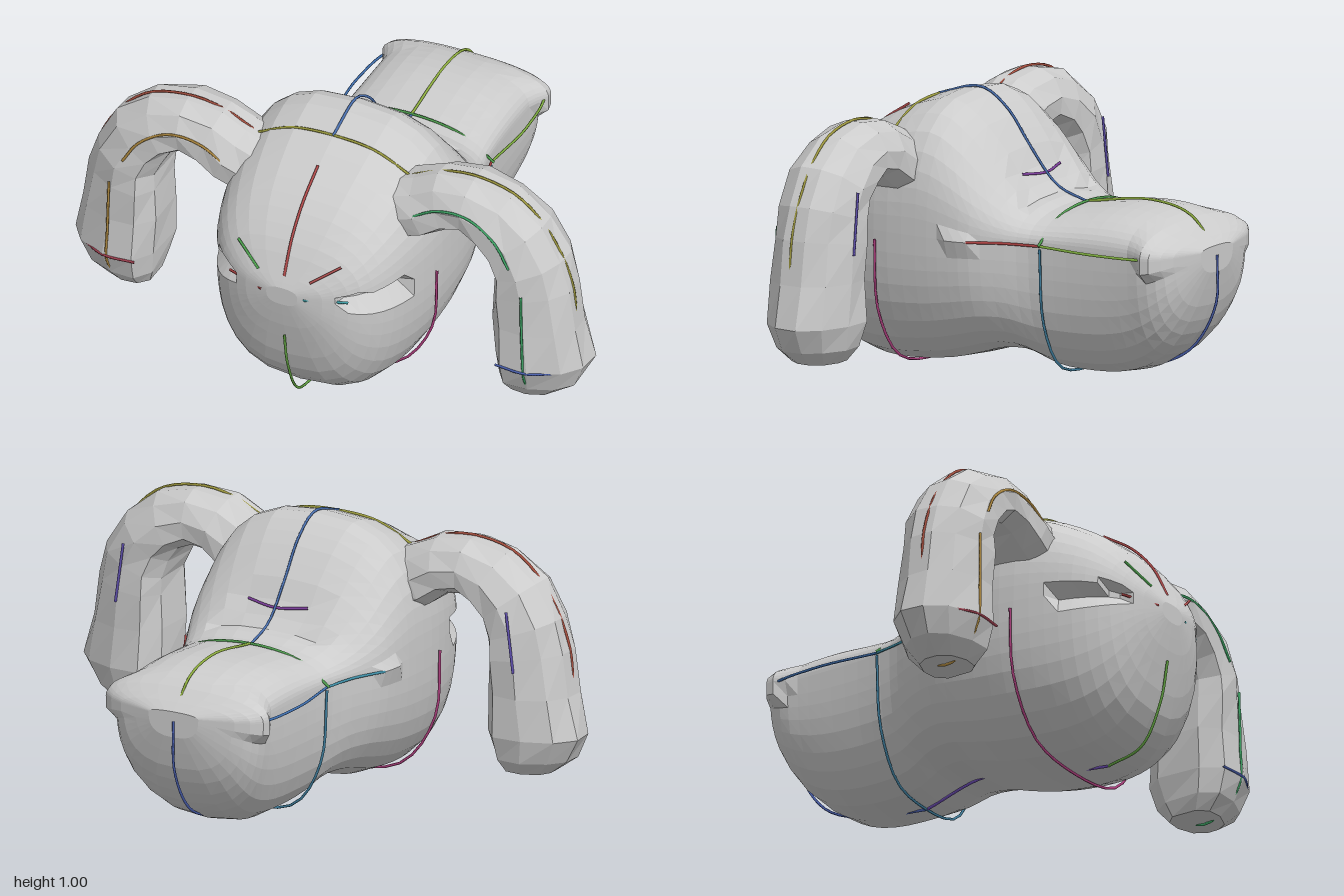
import * as THREE from 'three';

const grey = new THREE.MeshStandardMaterial({ color: 0xcccccc, flatShading: true, side: THREE.DoubleSide });

// Skin over a list of rings (arrays of Vector3), closed at both ends.
function loft(rings, name) {
  const n = rings[0].length, pos = [], index = [];
  rings.forEach(r => r.forEach(p => pos.push(p.x, p.y, p.z)));
  for (let i = 0; i < rings.length - 1; i++)
    for (let j = 0; j < n; j++) {
      const a = i * n + j, b = i * n + (j + 1) % n;
      index.push(a, a + n, b, b, a + n, b + n);
    }
  [0, rings.length - 1].forEach((k, end) => {
    const c = new THREE.Vector3();
    rings[k].forEach(p => c.addScaledVector(p, 1 / n));
    const ci = pos.length / 3;
    pos.push(c.x, c.y, c.z);
    for (let j = 0; j < n; j++) {
      const a = k * n + j, b = k * n + (j + 1) % n;
      index.push(ci, end ? b : a, end ? a : b);
    }
  });
  const g = new THREE.BufferGeometry();
  g.setAttribute('position', new THREE.Float32BufferAttribute(pos, 3));
  g.setIndex(index);
  g.computeVertexNormals();
  const mesh = new THREE.Mesh(g, grey);
  mesh.name = name;
  return mesh;
}

// Signed power, used to square off round sections
const spow = (v, e) => Math.sign(v) * Math.abs(v) ** e;

// Body stations: z, half width, top, bottom
const stations = [
  [0.79, 0.06, 0.56, 0.49], [0.765, 0.17, 0.61, 0.36], [0.71, 0.27, 0.71, 0.17],
  [0.62, 0.335, 0.81, 0.06], [0.5, 0.375, 0.89, 0.02], [0.36, 0.40, 0.955, 0.02],
  [0.21, 0.405, 0.99, 0.04], [0.1, 0.40, 0.925, 0.07], [0, 0.385, 0.81, 0.1],
  [-0.1, 0.345, 0.69, 0.1], [-0.2, 0.305, 0.635, 0.06], [-0.32, 0.29, 0.645, 0.05],
  [-0.46, 0.285, 0.66, 0.06], [-0.58, 0.285, 0.655, 0.1], [-0.68, 0.285, 0.63, 0.18],
  [-0.75, 0.24, 0.58, 0.3], [-0.79, 0.1, 0.545, 0.45],
];
const MID = 0.53;

function body() {
  const shape = new THREE.CatmullRomCurve3(stations.map(s => new THREE.Vector3(s[1], s[2], s[3])), false, 'catmullrom');
  const along = new THREE.CatmullRomCurve3(stations.map(s => new THREE.Vector3(0, 0, s[0])), false, 'catmullrom');
  const rings = [], steps = 40, sides = 36;
  for (let i = 0; i <= steps; i++) {
    const t = i / steps, { x: w, y: top, z: bottom } = shape.getPoint(t), z = along.getPoint(t).z;
    const ring = [];
    for (let j = 0; j < sides; j++) {
      // vertices gather around the waist crease
      const a0 = j / sides * Math.PI * 2, a = a0 - 0.3 * Math.sin(2 * a0);
      const c = Math.cos(a), s = Math.sin(a);
      // the head is squarer on top than the cushion behind it
      const e = s < 0 ? 0.74 : THREE.MathUtils.lerp(0.86, 0.75, THREE.MathUtils.smoothstep(z, -0.1, 0.25));
      const p = new THREE.Vector3(w * spow(c, e), MID + (s > 0 ? top - MID : MID - bottom) * spow(s, e), z);
      const nearWaist = Math.abs(p.y - MID) < 0.025;
      // eye slits
      if (nearWaist && z > 0.5 && z < 0.745 && Math.abs(p.x) > 0.2) {
        p.x *= 0.86;
        p.z -= 0.03;
      }
      // pocket at the nape
      if (s > 0.5 && z < -0.03 && z > -0.13 && Math.abs(p.x) < 0.2) p.y -= 0.02;
      // pointed rear corners
      if (Math.abs(p.y - 0.55) < 0.07) p.x *= 1 + 0.18 * Math.max(0, 1 - Math.abs(z + 0.7) / 0.08);
      // side flares behind the arms
      if (nearWaist && Math.abs(z - 0.03) < 0.06) p.x *= 1.05;
      ring.push(p);
    }
    rings.push(ring);
  }
  return loft(rings, 'body');
}

// Arm stations: x, y, radius in the bend plane, half depth
const armStations = [
  [0.29, 0.76, 0.11, 0.14], [0.37, 0.795, 0.105, 0.145], [0.45, 0.84, 0.1, 0.14], [0.55, 0.855, 0.095, 0.14],
  [0.65, 0.825, 0.105, 0.145], [0.73, 0.755, 0.12, 0.152], [0.78, 0.66, 0.127, 0.157], [0.795, 0.57, 0.137, 0.157],
  [0.807, 0.43, 0.15, 0.157], [0.825, 0.28, 0.165, 0.162], [0.81, 0.19, 0.135, 0.135], [0.785, 0.135, 0.09, 0.09],
];

function arm(side) {
  const rings = armStations.map(([x, y, r, d], i) => {
    const a = armStations[Math.max(i - 1, 0)], b = armStations[Math.min(i + 1, armStations.length - 1)];
    // the lower arm hangs straight down
    const t = i > 7 ? new THREE.Vector2(0, -1) : new THREE.Vector2((b[0] - a[0]) * side, b[1] - a[1]).normalize();
    const ring = [];
    for (let j = 0; j < 10; j++) {
      // boxy on the inside of the bend, ridged on the outside
      const q = j / 10 * Math.PI * 2, outward = Math.sin(q) * side;
      const lump = 1 + 0.03 * Math.sin(i * 2.3 + j * 1.9 * side);
      const u = spow(Math.cos(q), outward > 0.01 ? 0.9 : 0.7) * d * lump * (1 - 0.22 * outward);
      const v = spow(Math.sin(q), 0.85) * r * 1.04 * lump;
      ring.push(new THREE.Vector3(x * side - t.y * v, y + t.x * v, 0.365 + u));
    }
    return ring;
  });
  return loft(rings, side > 0 ? 'leftArm' : 'rightArm');
}

// Thin coloured guide line through a few points
function stroke(name, color, pts) {
  const curve = new THREE.CatmullRomCurve3(pts.map(p => new THREE.Vector3(...p)));
  const mesh = new THREE.Mesh(new THREE.TubeGeometry(curve, 24, 0.005, 5), new THREE.MeshStandardMaterial({ color }));
  mesh.name = name;
  return mesh;
}

function guideLines() {
  const g = new THREE.Group();
  g.name = 'guideLines';
  const add = (...a) => g.add(stroke(...a));
  // centre line
  add('faceLine', 0xb04a4a, [[0, 0.9, 0.5], [0, 0.82, 0.62], [0, 0.72, 0.71], [0, 0.6, 0.77]]);
  add('crownLine', 0x4a70b0, [[0, 0.95, 0.38], [0, 0.995, 0.2], [0, 0.93, 0.09], [0, 0.8, -0.01], [0, 0.68, -0.12], [0, 0.635, -0.25]]);
  add('cushionLine', 0x90b040, [[0, 0.64, -0.25], [0, 0.675, -0.52], [0, 0.64, -0.68], [0, 0.53, -0.78]]);
  add('rearLine', 0x4a60b0, [[0, 0.51, -0.79], [0, 0.33, -0.785], [0, 0.16, -0.68], [0, 0.08, -0.5], [0, 0.045, -0.25]]);
  add('bellyLine', 0x6a4ab0, [[0, 0.045, -0.25], [0, 0.105, 0], [0, 0.05, 0.22], [0, 0.01, 0.52]]);
  add('chinLine', 0x60a040, [[0, 0.01, 0.52], [0, 0.05, 0.66], [0, 0.2, 0.74], [0, 0.35, 0.77]]);
  // crosswise lines
  add('headTopLine', 0xa0a040, [[-0.3, 0.87, 0.375], [-0.16, 0.935, 0.375], [0, 0.95, 0.375], [0.16, 0.935, 0.375], [0.3, 0.87, 0.375]]);
  add('chestLine', 0xb04080, [[-0.405, 0.5, 0.38], [-0.385, 0.25, 0.38], [-0.25, 0.06, 0.38], [0, 0.015, 0.38], [0.25, 0.06, 0.38], [0.385, 0.25, 0.38], [0.405, 0.5, 0.38]]);
  add('waistTopLine', 0x50a050, [[-0.32, 0.53, -0.25], [-0.2, 0.61, -0.25], [0, 0.64, -0.25], [0.2, 0.61, -0.25], [0.32, 0.53, -0.25]]);
  add('waistUnderLine', 0x4080a0, [[-0.31, 0.52, -0.25], [-0.285, 0.25, -0.25], [-0.18, 0.08, -0.25], [0, 0.045, -0.25], [0.18, 0.08, -0.25], [0.285, 0.25, -0.25], [0.31, 0.52, -0.25]]);
  add('napeLine', 0x8040a0, [[-0.12, 0.73, -0.05], [0, 0.72, -0.07], [0.12, 0.73, -0.05]]);
  for (const s of [-1, 1]) {
    const L = s > 0;
    // sides of the body
    add('frontRimLine', L ? 0x40a0a8 : 0xa84040, [[0.08 * s, 0.53, 0.785], [0.23 * s, 0.53, 0.73]]);
    add('browLine', L ? 0xb05050 : 0x50a850, [[0.1 * s, 0.6, 0.77], [0.2 * s, 0.67, 0.725]]);
    add('sideLine', L ? 0xa84040 : 0x4090a8, [[0.4 * s, 0.53, 0], [0.34 * s, 0.53, -0.12], [0.31 * s, 0.53, -0.25]]);
    add('rearSideLine', L ? 0x80b040 : 0x4070b0, [[0.31 * s, 0.53, -0.25], [0.33 * s, 0.53, -0.5], [0.29 * s, 0.53, -0.71], [0.15 * s, 0.53, -0.77]]);
    // arms
    add('armOuterLine', L ? 0xa09a40 : 0xa85040,
      [[0.31 * s, 0.88, 0.375], [0.42 * s, 0.93, 0.375], [0.55 * s, 0.95, 0.375], [0.72 * s, 0.91, 0.375], [0.85 * s, 0.78, 0.375], [0.93 * s, 0.6, 0.375], [0.945 * s, 0.44, 0.375]]);
    add('armFrontLine', L ? 0x40a868 : 0xb08a40,
      [[0.34 * s, 0.78, 0.505], [0.46 * s, 0.85, 0.505], [0.58 * s, 0.855, 0.505], [0.69 * s, 0.79, 0.513], [0.75 * s, 0.7, 0.522]]);
    add('handFrontLine', L ? 0x40a868 : 0xb08a40,
      [[0.8 * s, 0.6, 0.525], [0.805 * s, 0.4, 0.527], [0.81 * s, 0.25, 0.52], [0.8 * s, 0.15, 0.44], [0.8 * s, 0.13, 0.37], [0.8 * s, 0.2, 0.25]]);
    add('armBackLine', 0x6050b0, [[0.77 * s, 0.75, 0.205], [0.8 * s, 0.53, 0.202]]);
    add('wristLine', L ? 0x4a60b0 : 0xa04050, [[0.7 * s, 0.28, 0.525], [0.82 * s, 0.28, 0.53], [0.91 * s, 0.28, 0.485]]);
  }
  return g;
}

export function createModel() {
  const model = new THREE.Group();
  model.name = 'model';
  model.add(body(), arm(1), arm(-1), guideLines());
  return model;
}
